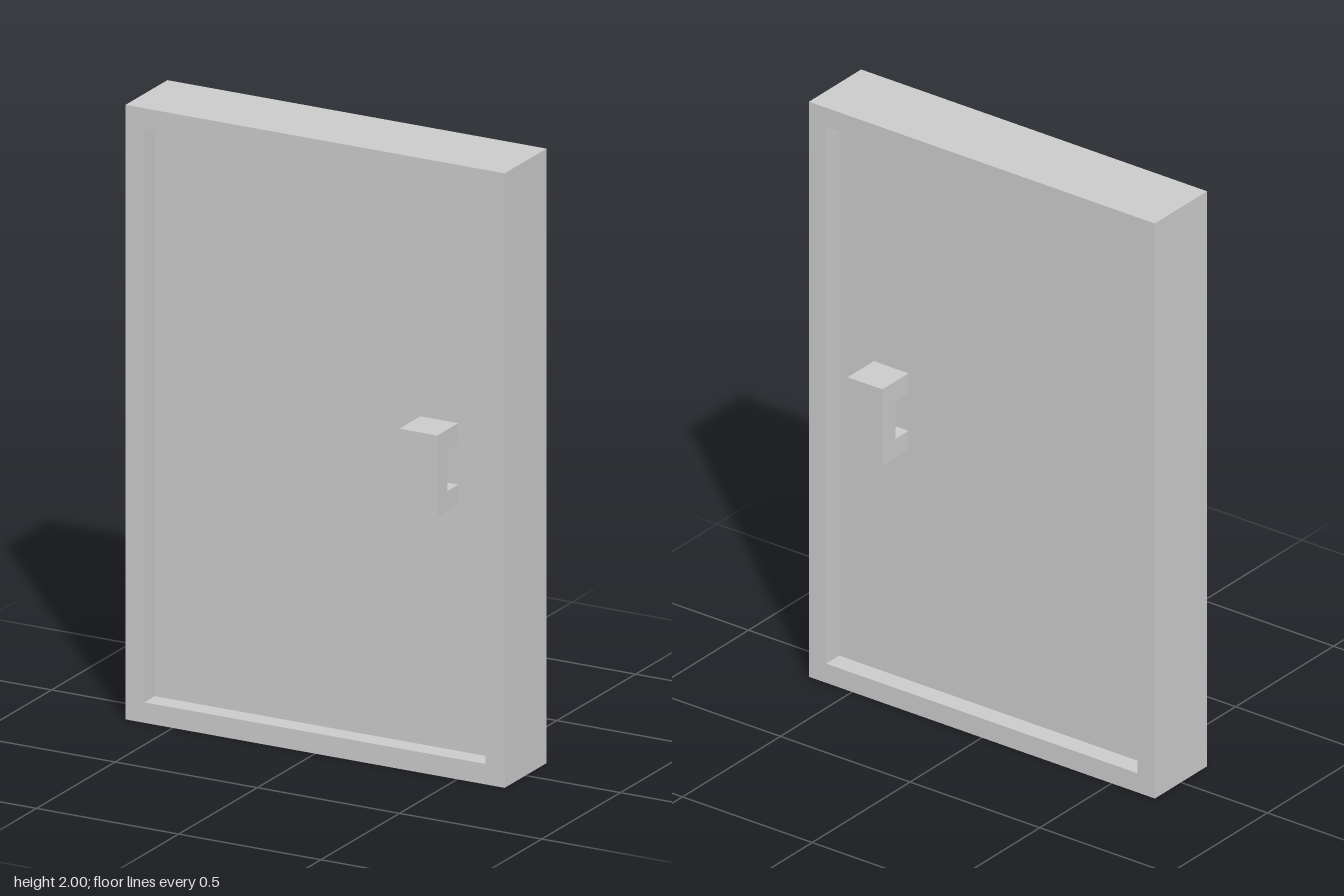
import * as THREE from 'three';

const U = 2 / 30; // the door is laid out on a grid of 20 x 30 x 4 units

export function createModel() {
  const door = new THREE.Group();
  door.name = 'door';
  const material = new THREE.MeshStandardMaterial({ color: 0xcccccc, flatShading: true });

  const add = (geometry, name) => {
    const mesh = new THREE.Mesh(geometry, material);
    mesh.name = name;
    door.add(mesh);
    return mesh;
  };
  const polygon = (points) => points.map(([x, y]) => new THREE.Vector2(x * U, y * U));

  // Outer frame: a rectangle with a rectangular opening
  const outline = new THREE.Shape(polygon([[-10, 0], [10, 0], [10, 30], [-10, 30]]));
  outline.holes.push(new THREE.Path(polygon([[-9, 1], [-9, 29], [9, 29], [9, 1]])));
  const frame = new THREE.ExtrudeGeometry(outline, { depth: 4 * U, bevelEnabled: false });
  add(frame.translate(0, 0, -2 * U), 'frame');

  // Recessed panel filling the opening
  add(new THREE.BoxGeometry(18 * U, 28 * U, 2 * U), 'panel').position.y = 15 * U;

  // C-shaped pull handle, profile as (distance from panel, height), one per face
  const profile = new THREE.Shape(polygon([
    [0, -2], [2, -2], [2, 2], [0, 2], [0, 1], [1, 1], [1, -1], [0, -1],
  ]));
  const handle = new THREE.ExtrudeGeometry(profile, { depth: 2 * U, bevelEnabled: false });
  handle.translate(0, 0, -U).rotateY(-Math.PI / 2);
  for (const side of [1, -1]) {
    const mesh = add(handle, side > 0 ? 'frontHandle' : 'backHandle');
    mesh.position.set(6 * U, 15 * U, side * U);
    if (side < 0) mesh.rotation.y = Math.PI;
  }

  return door;
}
